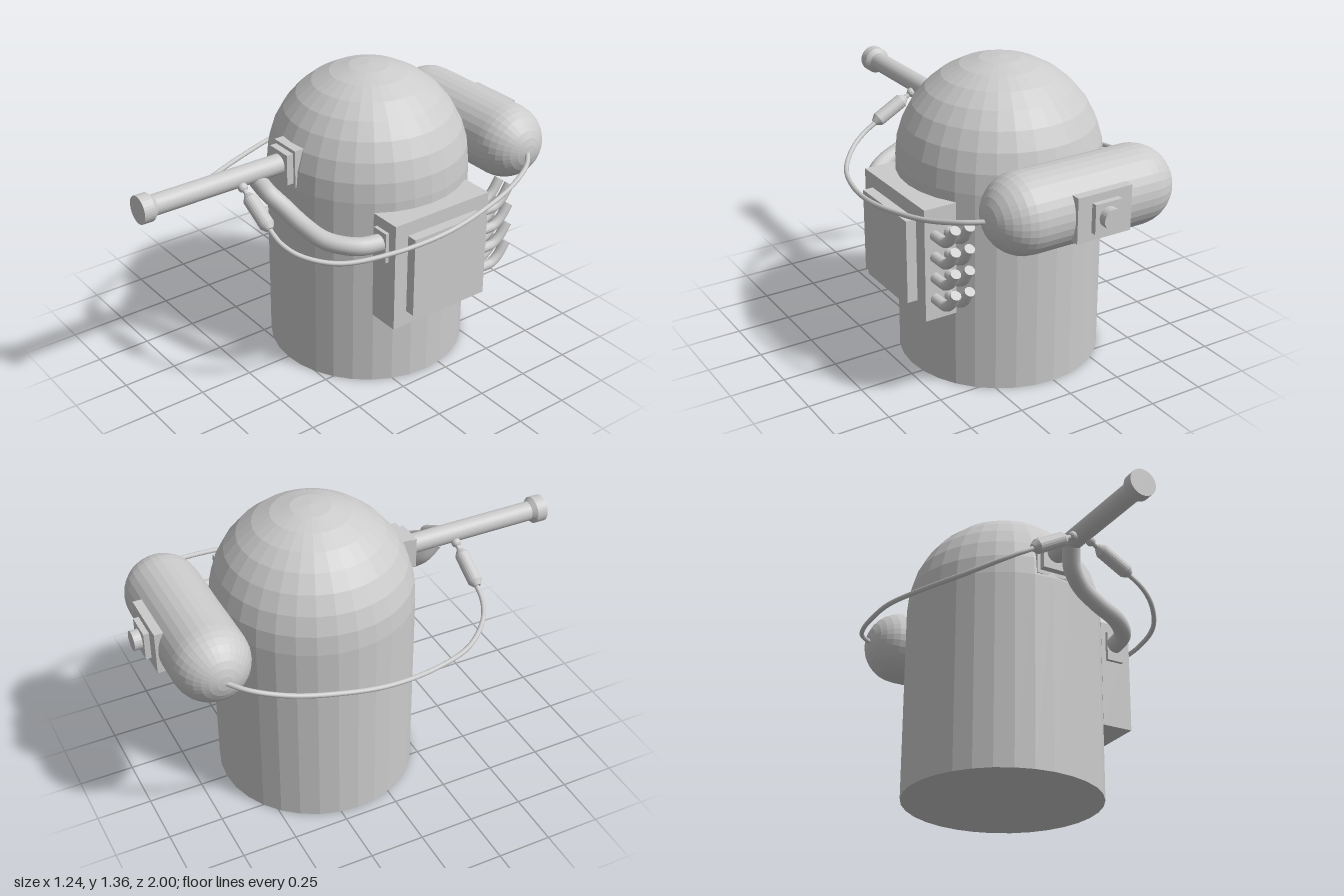
import * as THREE from 'three';

const flat = new THREE.MeshStandardMaterial({ color: 0xcccccc, flatShading: true });
const smooth = new THREE.MeshStandardMaterial({ color: 0xcccccc });
const v = (p) => new THREE.Vector3(...p);

export function createModel() {
  const model = new THREE.Group();

  const add = (name, geometry, position = [0, 0, 0], material = flat) => {
    const mesh = new THREE.Mesh(geometry, material);
    mesh.name = name;
    mesh.position.set(...position);
    model.add(mesh);
    return mesh;
  };

  // Box given by its minimum and maximum corners
  const box = (name, a, b) => add(name,
    new THREE.BoxGeometry(b[0] - a[0], b[1] - a[1], b[2] - a[2]),
    a.map((n, i) => (n + b[i]) / 2));

  // Profile of [radius, distance] turned around the line from a to b
  const turned = (name, profile, a, b, segments = 24) => {
    const points = profile.map(([r, d]) => new THREE.Vector2(r, d));
    const mesh = add(name, new THREE.LatheGeometry(points, segments), a);
    mesh.quaternion.setFromUnitVectors(new THREE.Vector3(0, 1, 0), v(b).sub(v(a)).normalize());
    return mesh;
  };
  const rod = (name, r, a, b) => {
    const length = v(a).distanceTo(v(b));
    return turned(name, [[0, 0], [r, 0], [r, length], [0, length]], a, b);
  };

  // Round hose through points, closed by a disc at its far end
  const hose = (name, points, r, steps, sides) => {
    const curve = new THREE.CatmullRomCurve3(points.map(v));
    add(name, new THREE.TubeGeometry(curve, steps, r, sides), [0, 0, 0], smooth);
    const cap = add(name + 'End', new THREE.CircleGeometry(r, sides), points[points.length - 1]);
    cap.quaternion.setFromUnitVectors(new THREE.Vector3(0, 0, 1), curve.getTangent(1));
  };

  // Domed body
  const R = 0.453, bodyZ = -0.17, shoulder = 0.91;
  add('body', new THREE.CylinderGeometry(R, R, shoulder, 32), [0, shoulder / 2, bodyZ]);
  add('dome', new THREE.SphereGeometry(R, 32, 8, 0, Math.PI * 2, 0, Math.PI / 2), [0, shoulder, bodyZ]);

  // Barrel with stepped mount and flared muzzle
  const barrelY = 1.017;
  box('barrelMountBase', [-0.077, 0.92, 0.2], [0.077, 1.096, 0.28]);
  box('barrelMountPlate', [-0.063, 0.938, 0.27], [0.063, 1.08, 0.312]);
  turned('barrel', [[0, 0], [0.045, 0], [0.045, 0.63], [0.062, 0.65], [0.062, 0.7], [0, 0.7]],
    [0, barrelY, 0.3], [0, barrelY, 1], 32);

  // Rear tank
  const tankY = 0.925, tankZ = -0.757;
  const tank = add('rearTank', new THREE.CapsuleGeometry(0.172, 0.53, 8, 32), [0, tankY, tankZ]);
  tank.rotation.z = Math.PI / 2;
  box('tankPlate', [-0.13, 0.825, -0.94], [0.13, 1.022, -0.9]);
  box('tankValveBase', [-0.063, 0.86, -0.965], [0.063, 0.988, -0.935]);
  rod('tankValve', 0.044, [0, tankY, -0.96], [0, tankY, -1]);

  // Side box
  box('sideBox', [0.375, 0.355, -0.43], [0.525, 0.867, 0.085]);
  box('sideBoxPanel', [0.52, 0.425, -0.36], [0.572, 0.802, 0.017]);
  box('hosePlate', [0.398, 0.676, 0.08], [0.481, 0.817, 0.102]);

  // Thick hose from the barrel to the side box
  hose('feedHose', [[0, 1, 0.44], [0.03, 0.92, 0.395], [0.1, 0.86, 0.355], [0.2, 0.812, 0.33],
    [0.32, 0.778, 0.295], [0.415, 0.762, 0.2], [0.44, 0.756, 0.08]], 0.04, 40, 16);

  // Bent exhaust pipes behind the side box
  for (const y of [0.745, 0.647, 0.55, 0.452]) {
    for (const x of [0.412, 0.478]) {
      hose('exhaustPipe', [[x, y, -0.42], [x, y, -0.48], [x, y + 0.003, -0.515],
        [x, y + 0.03, -0.555], [x, y + 0.09, -0.598]], 0.023, 16, 12);
    }
  }

  // Cables from the tank ends to plugs beside the barrel
  for (const s of [1, -1]) {
    const cable = [[0.42, 0.922, -0.757], [0.495, 0.907, -0.68], [0.555, 0.87, -0.53], [0.59, 0.838, -0.35],
      [0.607, 0.806, -0.12], [0.565, 0.776, 0.13], [0.485, 0.767, 0.35], [0.385, 0.8, 0.475],
      [0.31, 0.837, 0.517], [0.23, 0.882, 0.526]];
    hose('tankCable', cable.map(([x, y, z]) => [s * x, y, z]), 0.011, 64, 10);
    turned('cablePlug', [[0, 0], [0.016, 0], [0.033, 0.025], [0.033, 0.165], [0.016, 0.19], [0, 0.19]],
      [s * 0.245, 0.877, 0.526], [s * 0.075, 0.972, 0.526], 20);
    rod('plugPin', 0.011, [s * 0.09, 0.963, 0.526], [s * 0.03, 0.997, 0.526]);
    add('plugSocket', new THREE.SphereGeometry(0.022, 16, 10), [s * 0.045, 0.989, 0.526]);
  }

  return model;
}
